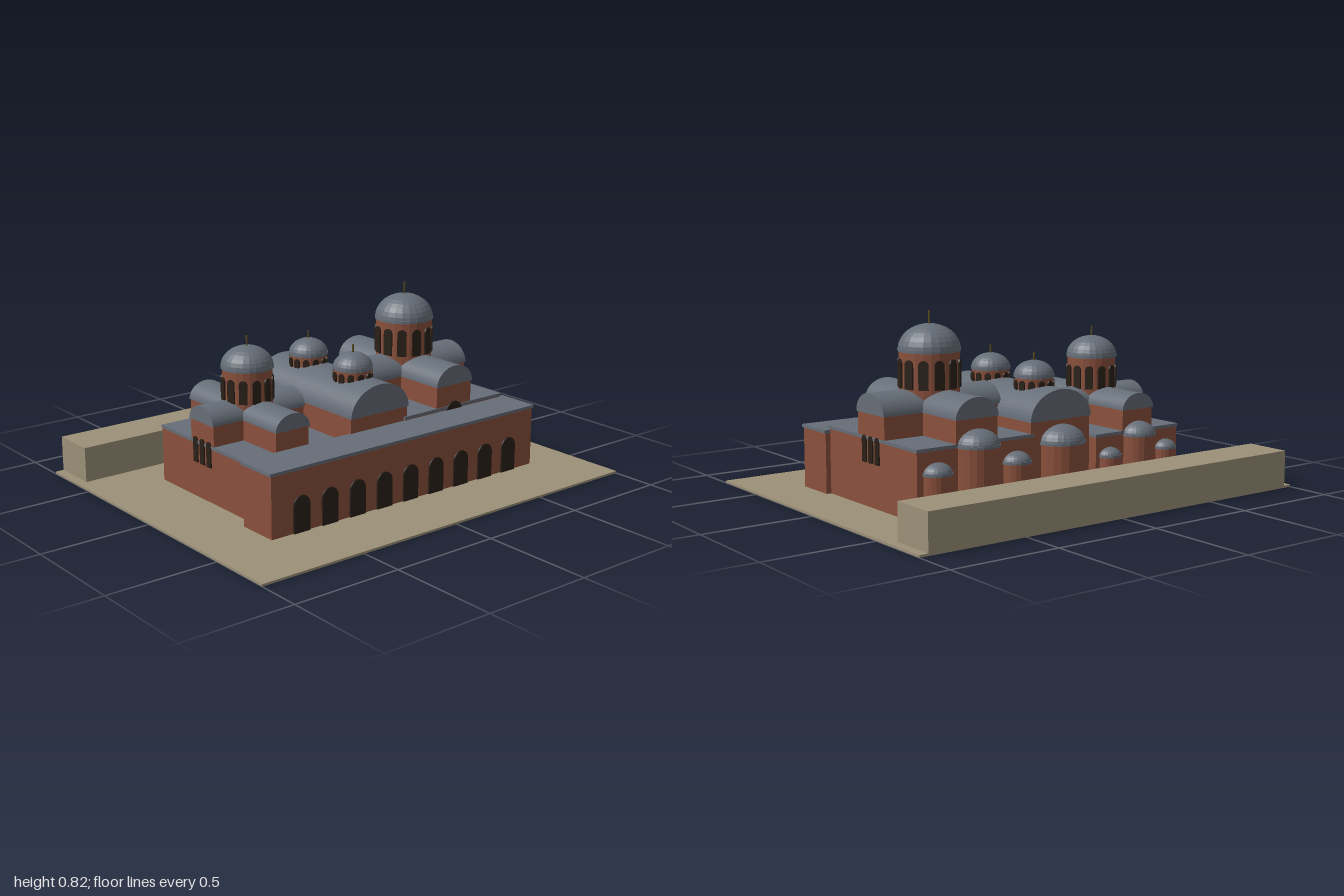
import * as THREE from 'three';

const mat = (color) => new THREE.MeshStandardMaterial({ color, flatShading: true });

export function createModel() {
  const model = new THREE.Group();
  model.name = 'monasteryChurch';
  const brick = mat(0x8a503c), slate = mat(0x666e78), stone = mat(0x9c9178);
  const dark = mat(0x2a2018), bronze = mat(0x5a4a20);

  function add(parent, name, geometry, material, x = 0, y = 0, z = 0) {
    const mesh = new THREE.Mesh(geometry, material);
    mesh.name = name;
    mesh.position.set(x, y, z);
    parent.add(mesh);
    return mesh;
  }

  function group(name) {
    const g = new THREE.Group();
    g.name = name;
    model.add(g);
    return g;
  }

  // Box given by its limits on each axis
  function block(parent, name, material, x0, x1, y0, y1, z0, z1) {
    return add(parent, name, new THREE.BoxGeometry(x1 - x0, y1 - y0, z1 - z0), material,
      (x0 + x1) / 2, (y0 + y1) / 2, (z0 + z1) / 2);
  }

  // Round-headed dark opening, base at y, facing along angle turn
  function archedOpening(parent, name, w, h, x, y, z, turn = 0) {
    const r = w / 2;
    const s = new THREE.Shape();
    s.moveTo(-r, 0);
    s.lineTo(r, 0);
    s.lineTo(r, h - r);
    s.absarc(0, h - r, r, 0, Math.PI, false);
    s.closePath();
    const geo = new THREE.ExtrudeGeometry(s, { depth: 0.012, bevelEnabled: false, curveSegments: 8 });
    geo.translate(0, 0, -0.006);
    add(parent, name, geo, dark, x, y, z).rotation.y = turn;
  }

  // Half-elliptical vault roof of given length, centred, running along z or x
  function vault(parent, name, halfWidth, rise, length, x, y, z, alongX = false) {
    const s = new THREE.Shape();
    s.moveTo(halfWidth, 0);
    s.absellipse(0, 0, halfWidth, rise, 0, Math.PI, false, 0);
    s.closePath();
    const geo = new THREE.ExtrudeGeometry(s, { depth: length, bevelEnabled: false, curveSegments: 14 });
    geo.translate(0, 0, -length / 2);
    add(parent, name, geo, slate, x, y, z).rotation.y = alongX ? Math.PI / 2 : 0;
  }

  function halfDome(parent, name, r, rise, x, y, z) {
    const geo = new THREE.SphereGeometry(r, 24, 8, 0, Math.PI * 2, 0, Math.PI / 2);
    geo.scale(1, rise / r, 1);
    add(parent, name, geo, slate, x, y, z);
  }

  // Windowed drum, eave ring, dome and finial
  function domedDrum(parent, o) {
    const g = new THREE.Group();
    g.name = 'domedDrum';
    g.position.set(o.x, 0, o.z);
    parent.add(g);
    const h = o.eave - o.base;
    add(g, 'drumWall', new THREE.CylinderGeometry(o.r, o.r, h, 24), brick, 0, o.base + h / 2, 0);
    for (let i = 0; i < 12; i++) {
      const a = (i + 0.5) / 12 * Math.PI * 2;
      archedOpening(g, 'drumWindow', o.r * 0.33, o.winTop - o.winBase,
        Math.sin(a) * o.r * 0.99, o.winBase, Math.cos(a) * o.r * 0.99, a);
    }
    add(g, 'eaveRing', new THREE.CylinderGeometry(o.r + 0.006, o.r + 0.006, 0.012, 24), slate, 0, o.eave, 0);
    halfDome(g, 'dome', o.r + 0.005, o.top - o.eave, 0, o.eave, 0);
    add(g, 'finial', new THREE.CylinderGeometry(0.004, 0.004, o.tip - o.top + 0.02, 8), bronze,
      0, (o.tip + o.top - 0.02) / 2, 0);
  }

  // Rounded apse standing against the east wall
  function apse(parent, x, r, h) {
    add(parent, 'apseWall', new THREE.CylinderGeometry(r, r, h, 20), brick, x, h / 2, -0.4);
    add(parent, 'apseEave', new THREE.CylinderGeometry(r + 0.004, r + 0.004, 0.01, 20), slate, x, h, -0.4);
    halfDome(parent, 'apseRoof', r + 0.002, r * 0.7, x, h, -0.4);
  }

  // Cross-in-square church: low corners, two crossing vaulted arms, dome, three apses
  function crossChurch(name, o) {
    const g = group(name);
    const zm = (o.z0 + o.z1) / 2, xm = (o.x0 + o.x1) / 2;
    block(g, 'lowerWalls', brick, o.x0, o.x1, 0, o.low, o.z0, o.z1);
    block(g, 'cornerRoof', slate, o.x0 - 0.003, o.x1 + 0.003, o.low, o.low + 0.014, o.z0 - 0.003, o.z1 + 0.003);
    const a = o.arm - 0.004;
    block(g, 'longArmWalls', brick, o.cx - a, o.cx + a, o.low, o.spring, o.z0, o.z1);
    block(g, 'crossArmWalls', brick, o.x0, o.x1, o.low, o.spring, o.cz - a, o.cz + a);
    vault(g, 'longArmVault', o.arm, o.top - o.spring, o.z1 - o.z0 + 0.01, o.cx, o.spring, zm);
    vault(g, 'crossArmVault', o.arm, o.top - o.spring, o.x1 - o.x0 + 0.01, xm, o.spring, o.cz, true);
    domedDrum(g, { x: o.cx, z: o.cz, ...o.drum });
    apse(g, o.cx, o.apseR, o.apseH);
    for (const s of [-1, 1]) apse(g, o.cx + s * o.sideX, o.sideR, o.sideH);
    // Triple window in the outer side wall
    const outer = o.cx > 0 ? 1 : -1;
    for (let i = -1; i <= 1; i++)
      archedOpening(g, 'sideWindow', 0.032, 0.115, outer > 0 ? o.x1 : o.x0, o.winY, o.cz + i * 0.05, outer * Math.PI / 2);
    return g;
  }

  // Ground slab and boundary wall behind
  block(model, 'ground', stone, -1, 1, 0, 0.01, -0.8, 0.8);
  block(model, 'boundaryWall', stone, -0.96, 0.96, 0.005, 0.17, -0.8, -0.59);

  // Entrance hall with nine arches
  const hall = group('entranceHall');
  block(hall, 'hallWalls', brick, -0.718, 0.768, 0, 0.28, 0.285, 0.478);
  block(hall, 'hallRoof', slate, -0.725, 0.775, 0.28, 0.294, 0.28, 0.483);
  for (let i = 0; i < 9; i++)
    archedOpening(hall, 'hallArch', 0.083, 0.16, -0.568 + i * 0.148, 0.01, 0.48);

  // Large church
  const south = crossChurch('largeChurch', {
    x0: 0.155, x1: 0.745, z0: -0.4, z1: 0.292, cx: 0.45, cz: -0.055, low: 0.298,
    arm: 0.108, spring: 0.41, top: 0.498, winY: 0.2,
    drum: { r: 0.13, base: 0.42, winBase: 0.5, winTop: 0.625, eave: 0.66, top: 0.77, tip: 0.825 },
    apseR: 0.095, apseH: 0.3, sideX: 0.2, sideR: 0.064, sideH: 0.205,
  });
  archedOpening(south, 'frontWindow', 0.095, 0.13, 0.45, 0.2, 0.292);

  // Small church
  crossChurch('smallChurch', {
    x0: -0.67, x1: -0.19, z0: -0.4, z1: 0.24, cx: -0.43, cz: -0.08, low: 0.255,
    arm: 0.09, spring: 0.36, top: 0.432, winY: 0.17,
    drum: { r: 0.11, base: 0.37, winBase: 0.425, winTop: 0.53, eave: 0.57, top: 0.66, tip: 0.705 },
    apseR: 0.08, apseH: 0.25, sideX: 0.165, sideR: 0.052, sideH: 0.17,
  });

  // Middle chapel: one long vault carrying two small domes
  const chapel = group('middleChapel');
  block(chapel, 'chapelWalls', brick, -0.15, 0.17, 0, 0.36, -0.4, 0.288);
  vault(chapel, 'chapelVault', 0.164, 0.13, 0.7, 0.01, 0.36, -0.055);
  for (const z of [-0.215, 0.105])
    domedDrum(chapel, { x: 0.01, z, r: 0.084, base: 0.42, winBase: 0.46, winTop: 0.512, eave: 0.528, top: 0.595, tip: 0.63 });
  apse(chapel, 0.01, 0.106, 0.265);

  return model;
}
